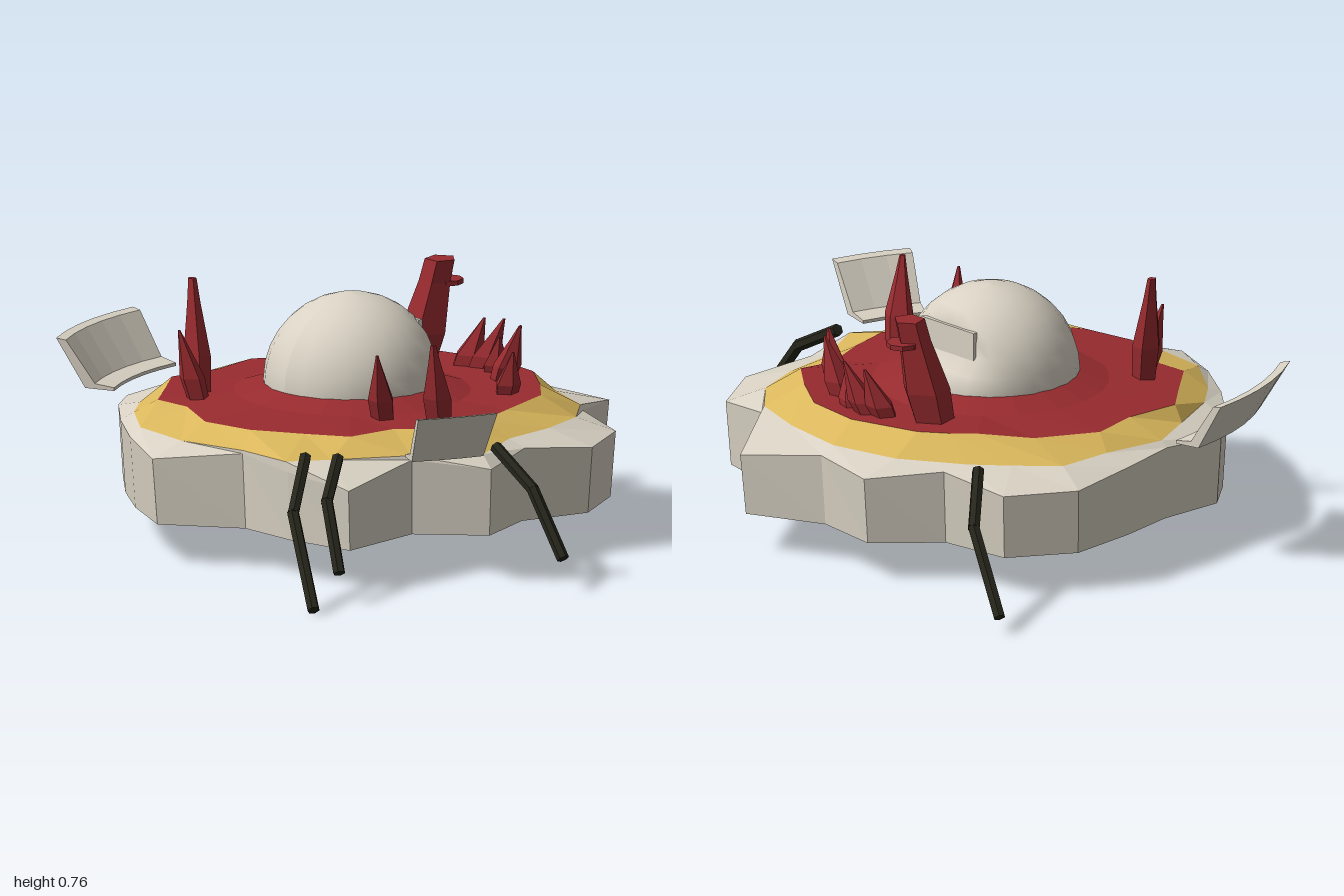
import * as THREE from 'three';

const CX = 0.03, CZ = -0.085; // hub of the round plan
const mat = (name, color) =>
  new THREE.MeshStandardMaterial({ name, color, side: THREE.DoubleSide });
const bone = mat('bone', 0xd9d2c4);
const sand = mat('sand', 0xdab75c);
const crimson = mat('crimson', 0x982b2f);
const black = mat('black', 0x25251b);

// Plan outlines as [x, z], all with the same number of corners
const rim = [[0.74, -0.09], [0.85, 0.15], [0.6, 0.32], [0.56, 0.52], [0.36, 0.645], [0.13, 0.6],
  [-0.08, 0.69], [-0.25, 0.52], [-0.545, 0.57], [-0.59, 0.34], [-0.59, 0.13], [-0.76, -0.09],
  [-0.66, -0.31], [-0.545, -0.49], [-0.4, -0.67], [-0.28, -0.77], [-0.06, -0.765], [0.13, -0.8],
  [0.36, -0.82], [0.56, -0.7], [0.59, -0.47], [0.77, -0.31]];
const sandEdge = [[0.69, -0.09], [0.655, 0.13], [0.59, 0.32], [0.47, 0.44], [0.31, 0.5], [0.13, 0.53],
  [-0.07, 0.64], [-0.25, 0.515], [-0.47, 0.4], [-0.59, 0.33], [-0.59, 0.13], [-0.645, -0.09],
  [-0.62, -0.31], [-0.5, -0.48], [-0.4, -0.57], [-0.22, -0.66], [-0.06, -0.74], [0.14, -0.71],
  [0.32, -0.71], [0.43, -0.6], [0.52, -0.5], [0.64, -0.31]];
const redEdge = [[0.615, -0.09], [0.59, 0.1], [0.49, 0.25], [0.4, 0.36], [0.245, 0.38], [0.1, 0.44],
  [-0.05, 0.48], [-0.18, 0.355], [-0.35, 0.35], [-0.43, 0.23], [-0.52, 0.08], [-0.55, -0.09],
  [-0.46, -0.28], [-0.465, -0.41], [-0.34, -0.52], [-0.23, -0.62], [-0.05, -0.61], [0.11, -0.65],
  [0.295, -0.555], [0.43, -0.45], [0.49, -0.39], [0.55, -0.31]];

// Flat shaded copy of a geometry
function flat(geometry) {
  const g = geometry.index ? geometry.toNonIndexed() : geometry;
  g.computeVertexNormals();
  return g;
}

// Joins closed loops of points into a surface
function loft(loops) {
  const n = loops[0].length, index = [];
  for (let k = 0; k < loops.length - 1; k++) {
    for (let i = 0; i < n; i++) {
      const a = k * n + i, b = k * n + (i + 1) % n;
      index.push(a, b, a + n, b, b + n, a + n);
    }
  }
  const g = new THREE.BufferGeometry();
  g.setAttribute('position', new THREE.Float32BufferAttribute(loops.flat(2), 3));
  g.setIndex(index);
  return flat(g);
}

export function createModel() {
  const model = new THREE.Group();
  const add = (name, geometry, material, parent = model) => {
    const mesh = new THREE.Mesh(geometry, material);
    mesh.name = name;
    parent.add(mesh);
    return mesh;
  };
  const group = (name) => {
    const g = new THREE.Group();
    g.name = name;
    model.add(g);
    return g;
  };

  // Ground rings, stepping up towards the dome
  const top = rim.map(([x, z]) => [x, 0.33 + 0.22 * (0.77 - Math.hypot(x - CX, z - CZ)), z]);
  const foot = rim.map(([x, z]) => [CX + (x - CX) * 0.975, 0.12, CZ + (z - CZ) * 0.985]);
  const sandLoop = sandEdge.map(([x, z]) => [x, 0.365, z]);
  const redLoop = redEdge.map(([x, z]) => [x, x > 0.3 ? 0.43 : 0.41, z]);
  const inward = (r, y) => redEdge.map(([x, z]) => {
    const d = Math.hypot(x - CX, z - CZ);
    return [CX + (x - CX) * r / d, y, CZ + (z - CZ) * r / d];
  });
  add('skirt', loft([top, foot]), bone);
  add('rimRing', loft([sandLoop, top]), bone);
  add('sandRing', loft([redLoop, sandLoop]), sand);
  add('crimsonField', loft([inward(0.25, 0.46), inward(0.36, 0.425), redLoop]), crimson);

  // Dome with one side pressed in
  const ball = new THREE.SphereGeometry(0.27, 24, 16);
  const p = ball.attributes.position;
  for (let i = 0; i < p.count; i++) {
    p.setX(i, Math.min(p.getX(i), 0.17 + Math.max(0, 0.1 - Math.abs(p.getY(i)))));
  }
  ball.computeVertexNormals();
  add('dome', ball, bone).position.set(CX, 0.455, CZ);
  add('domeHatch', new THREE.BoxGeometry(0.015, 0.14, 0.23), bone).position.set(0.203, 0.565, -0.085);

  // Curved wall panels around the hub
  const profile = [[0.74, 0.39], [0.8, 0.4], [0.89, 0.53], [0.92, 0.535], [0.83, 0.385], [0.74, 0.38], [0.74, 0.39]]
    .map(([r, y]) => new THREE.Vector2(r, y));
  const panels = group('wallPanels');
  panels.position.set(CX, 0, CZ);
  for (const [name, from, to, steps] of [['backPanel', 185.6, 216, 5], ['frontPanel', -28, -12, 3]]) {
    const a = THREE.MathUtils.degToRad(from), b = THREE.MathUtils.degToRad(to);
    add(name, flat(new THREE.LatheGeometry(profile, steps, a, b - a)), bone, panels);
    for (const angle of [a, b]) {
      add(name + 'End', new THREE.ShapeGeometry(new THREE.Shape(profile)), bone, panels)
        .rotation.y = angle - Math.PI / 2;
    }
  }

  // Crystals: five-sided shards, wider below the middle and leaning to a tip
  const crystals = group('crystals');
  const shard = (base, tip, r, tipR = 0.1) => {
    const loops = [[0, 0.85], [0.35, 1], [0.8, 0.3 + tipR * 0.6], [1, tipR], [1, 0.001]].map(([t, s]) =>
      Array.from({ length: 5 }, (_, i) => {
        const a = -i * Math.PI * 0.4 + base[0] * 9;
        return [0, 1, 2].map((k) => base[k] + (tip[k] - base[k]) * t + [Math.cos(a), 0, Math.sin(a)][k] * r * s);
      }));
    add('crystal', loft(loops), crimson, crystals);
  };
  shard([-0.33, 0.4, -0.38], [-0.295, 0.755, -0.45], 0.045, 0.3);
  shard([-0.37, 0.4, -0.33], [-0.415, 0.625, -0.37], 0.04);
  shard([-0.02, 0.4, 0.38], [-0.08, 0.665, 0.42], 0.045, 0.2);
  shard([-0.13, 0.4, 0.25], [-0.2, 0.63, 0.3], 0.042);
  shard([0.35, 0.4, 0.25], [0.34, 0.56, 0.3], 0.04);
  shard([0.46, 0.4, 0.1], [0.48, 0.6, 0.17], 0.045);
  shard([0.52, 0.4, 0.0], [0.5, 0.54, 0.05], 0.04);
  shard([0.52, 0.4, -0.08], [0.56, 0.58, 0.0], 0.045);
  shard([0.5, 0.4, -0.13], [0.55, 0.57, -0.08], 0.045);
  shard([0.42, 0.4, -0.25], [0.48, 0.745, -0.2], 0.075, 0.65);
  add('crystalDisc', flat(new THREE.CylinderGeometry(0.05, 0.05, 0.015, 8)), crimson, crystals)
    .position.set(0.505, 0.672, -0.2);

  // Jointed legs
  const legs = group('legs');
  const up = new THREE.Vector3(0, 1, 0);
  for (const path of [
    [[-0.555, 0.38, 0.38], [-0.73, 0.26, 0.53], [-0.83, 0.015, 0.74]],
    [[-0.49, 0.38, 0.455], [-0.63, 0.29, 0.57], [-0.685, 0.1, 0.69]],
    [[-0.025, 0.38, 0.65], [-0.035, 0.285, 0.83], [-0.045, 0.1, 0.98]],
    [[0.57, 0.38, -0.6], [0.72, 0.27, -0.74], [0.79, 0.05, -0.925]],
  ]) {
    const pts = path.map((q) => new THREE.Vector3(...q));
    for (let i = 0; i < 2; i++) {
      const d = pts[i + 1].clone().sub(pts[i]);
      const bar = add('legSegment', flat(new THREE.CylinderGeometry(0.019, 0.019, d.length() + 0.01, 6)), black, legs);
      bar.position.copy(pts[i]).addScaledVector(d, 0.5);
      bar.quaternion.setFromUnitVectors(up, d.normalize());
    }
  }
  return model;
}
